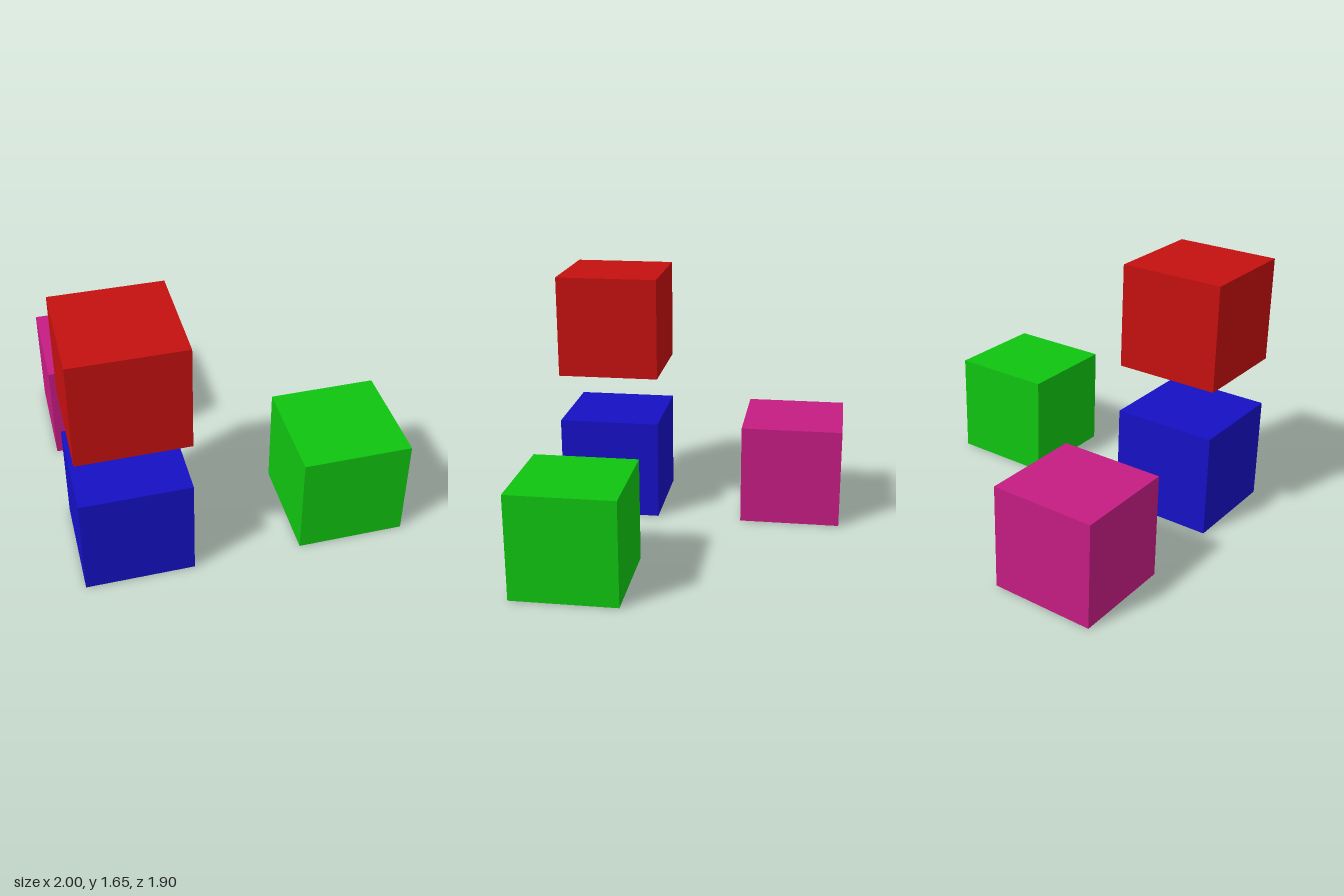
import * as THREE from 'three';

const SIZE = 0.666;

export function createModel() {
  const group = new THREE.Group();
  const geometry = new THREE.BoxGeometry(SIZE, SIZE, SIZE);

  // Four equal cubes: a corner cube and one offset along each axis
  const cubes = [
    ['cornerCube', 0x1610c4, -0.667, 0.333, 0.617],
    ['sideCube', 0x10c410, 0.667, 0.333, 0.617],
    ['upperCube', 0xc41010, -0.667, 1.315, 0.617],
    ['rearCube', 0xc41c82, -0.667, 0.333, -0.617],
  ];

  for (const [name, color, x, y, z] of cubes) {
    const cube = new THREE.Mesh(geometry, new THREE.MeshStandardMaterial({ color }));
    cube.name = name;
    cube.position.set(x, y, z);
    group.add(cube);
  }
  return group;
}
